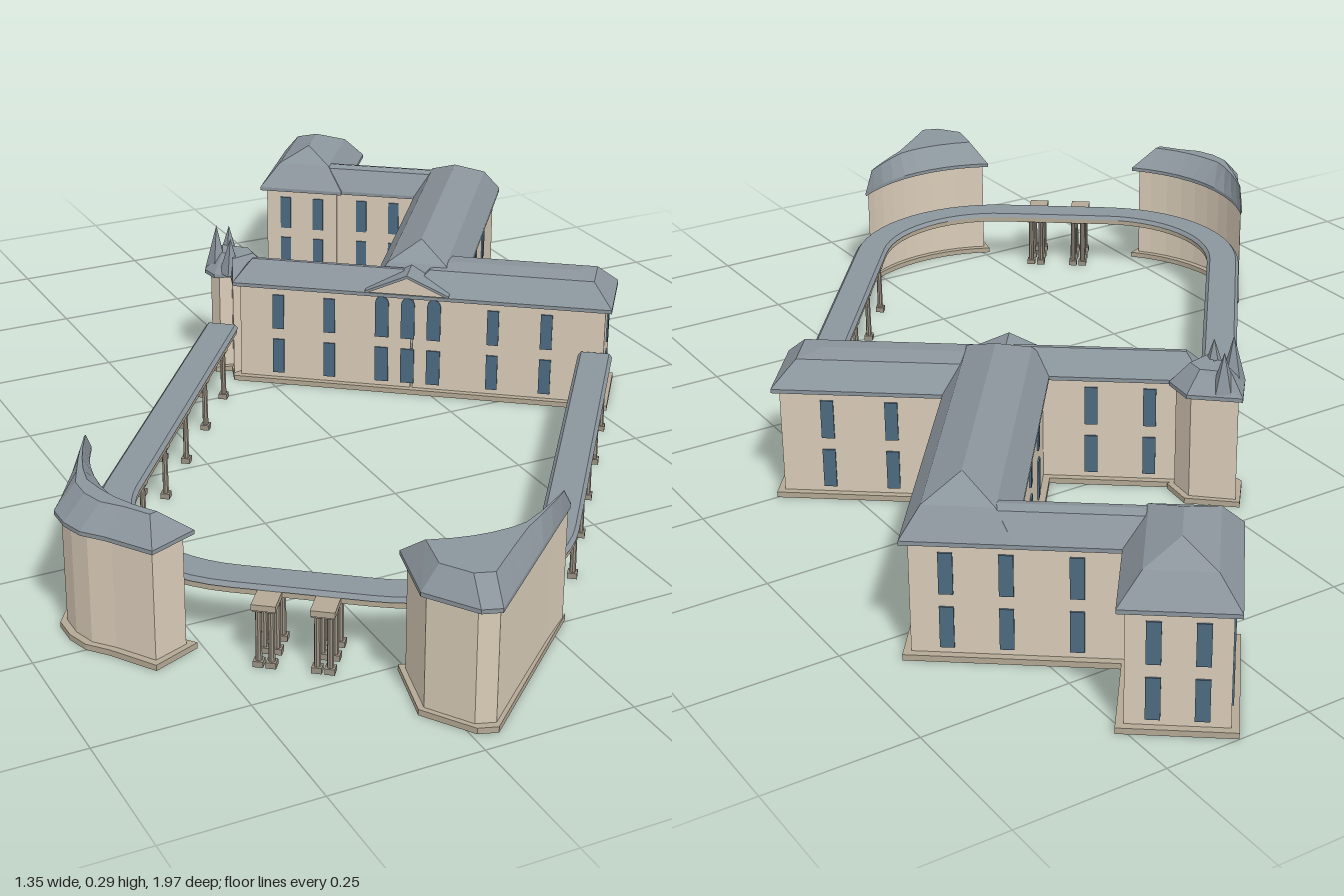
import * as THREE from 'three';

const mat = (color) => new THREE.MeshStandardMaterial({ color, flatShading: true });
const WALL = mat(0xd9ccb8), ROOF = mat(0x8b959c), GLASS = mat(0x4d6a80);
const STONE = mat(0xb3a894), COLUMN = mat(0x9a9284);

function add(parent, name, geometry, material) {
  const mesh = new THREE.Mesh(geometry, material);
  mesh.name = name;
  parent.add(mesh);
  return mesh;
}

const area = (r) => r.reduce((s, [x, z], i) => {
  const [u, v] = r[(i + 1) % r.length];
  return s + x * v - u * z;
}, 0);

// Solid through footprints of equal point count at rising heights, with end caps
function loft(rings, heights) {
  if (area(rings[0]) < 0) rings = rings.map((r) => [...r].reverse());
  const pos = [], n = rings[0].length;
  const put = (k, i) => pos.push(rings[k][i][0], heights[k], rings[k][i][1]);
  for (let k = 0; k + 1 < rings.length; k++) {
    for (let i = 0; i < n; i++) {
      const j = (i + 1) % n;
      put(k, i); put(k + 1, j); put(k, j);
      put(k, i); put(k + 1, i); put(k + 1, j);
    }
  }
  const cap = (k, up) => {
    const pts = rings[k].map(([x, z]) => new THREE.Vector2(x, z));
    for (const [a, b, c] of THREE.ShapeUtils.triangulateShape(pts, [])) {
      (up ? [a, c, b] : [a, b, c]).forEach((i) => put(k, i));
    }
  };
  cap(0, false);
  cap(rings.length - 1, true);
  const g = new THREE.BufferGeometry();
  g.setAttribute('position', new THREE.Float32BufferAttribute(pos, 3));
  g.computeVertexNormals();
  return g;
}

// Plinth, walls and mansard roof; inset(d) gives the footprint moved inwards by d
function building(parent, name, inset, tiers) {
  const g = new THREE.Group();
  g.name = name;
  parent.add(g);
  add(g, 'plinth', loft([inset(0), inset(0)], [0, 0.01]), STONE);
  add(g, 'walls', loft([inset(0.012), inset(0.012)], [0.01, 0.2]), WALL);
  const steps = [[0, 0.198], [0, 0.205], ...tiers];
  add(g, 'roof', loft(steps.map((t) => inset(t[0])), steps.map((t) => t[1])), ROOF);
  return g;
}

const rect = (x0, x1, z0, z1) => (d) =>
  [[x0 + d, z0 + d], [x1 - d, z0 + d], [x1 - d, z1 - d], [x0 + d, z1 - d]];

const shrink = (pts) => {
  const cx = pts.reduce((s, p) => s + p[0], 0) / pts.length;
  const cz = pts.reduce((s, p) => s + p[1], 0) / pts.length;
  return (d) => pts.map(([x, z]) => {
    const f = 1 - Math.min(0.9, d / Math.hypot(x - cx, z - cz));
    return [cx + (x - cx) * f, cz + (z - cz) * f];
  });
};

const lerp = (p, q, t) => [p[0] + (q[0] - p[0]) * t, p[1] + (q[1] - p[1]) * t];

// Two storeys of windows at fractions along a wall line
function windows(parent, p, q, fractions, width = 0.022) {
  for (const t of fractions) {
    const [x, z] = lerp(p, q, t);
    for (const y of [0.055, 0.147]) {
      const w = add(parent, 'window', new THREE.BoxGeometry(width, 0.07, 0.006), GLASS);
      w.position.set(x, y, z);
      w.rotation.y = -Math.atan2(q[1] - p[1], q[0] - p[0]);
    }
  }
}

const arc = (cx, cz, r, a0, a1, n) => Array.from({ length: n + 1 }, (_, i) => {
  const a = a0 + (a1 - a0) * i / n;
  return [cx + r * Math.cos(a), cz + r * Math.sin(a)];
});

// Point at fraction t along a polyline
function along(pts, t) {
  const len = pts.slice(1).map((p, i) => Math.hypot(p[0] - pts[i][0], p[1] - pts[i][1]));
  let s = t * len.reduce((a, b) => a + b);
  for (let i = 0; i < len.length; i++) {
    if (s <= len[i] || i === len.length - 1) return lerp(pts[i], pts[i + 1], Math.min(1, s / len[i]));
    s -= len[i];
  }
}

// Footprint between a concave arc and an outer wall line, starting at a thin tip
const wedge = (inner, outer) => (d) => {
  const n = inner.length - 1;
  const A = [], O = [];
  for (let i = 0; i <= n; i++) {
    const a = inner[i], o = along(outer, i / n);
    const f = Math.min(0.42, d / Math.max(0.001, Math.hypot(o[0] - a[0], o[1] - a[1])));
    A.push(lerp(a, o, f));
    O.push(lerp(o, a, f));
  }
  const e = Math.min(0.9, d / 0.045);
  for (const L of [A, O]) {
    L[0] = lerp(L[0], L[1], e);
    L[n] = lerp(L[n], L[n - 1], e);
  }
  return [...A, ...O.reverse()];
};

function column(parent, x, z, h = 0.104) {
  const g = new THREE.Group();
  g.name = 'column';
  g.position.set(x, 0, z);
  add(g, 'shaft', new THREE.CylinderGeometry(0.0045, 0.0055, h, 8), COLUMN).position.y = h / 2;
  add(g, 'base', new THREE.BoxGeometry(0.016, 0.01, 0.016), COLUMN).position.y = 0.005;
  add(g, 'capital', new THREE.BoxGeometry(0.015, 0.008, 0.015), COLUMN).position.y = h - 0.004;
  parent.add(g);
}

export function createModel() {
  const root = new THREE.Group();
  root.name = 'palace';
  const p = new THREE.Group();
  p.name = 'palaceGrounds';
  p.rotation.y = -0.651; // the whole plan stands askew to the axes
  root.add(p);

  // Front range
  const left = building(p, 'frontRangeLeft', rect(-0.237, 0.12, -0.285, -0.213), [[0.032, 0.245]]);
  windows(left, [-0.22, -0.273], [0.03, -0.273], [0.3, 0.7]);
  const right = building(p, 'frontRangeRight', rect(0.1, 0.487, -0.37, -0.213),
    [[0.038, 0.245], [0.078, 0.25]]);
  windows(right, [0, -0.225], [1, -0.225], [-0.15, -0.05, 0.265, 0.366]);
  windows(right, [0.475, -0.37], [0.475, -0.213], [0.5]);
  windows(right, [0.2, -0.358], [0.487, -0.358], [0.3, 0.68]);
  windows(right, [0, -0.225], [1, -0.225], [0.052, 0.102, 0.152], 0.026);
  for (const x of [0.052, 0.102, 0.152]) {
    const top = add(right, 'windowArch', new THREE.CylinderGeometry(0.013, 0.013, 0.006, 12), GLASS);
    top.rotation.x = Math.PI / 2;
    top.position.set(x, 0.182, -0.225);
  }

  // Pediment over the middle windows
  const tri = new THREE.Shape([[-0.075, 0], [0.075, 0], [0, 0.034]].map((v) => new THREE.Vector2(...v)));
  add(p, 'pediment', new THREE.ExtrudeGeometry(tri, { depth: 0.06, bevelEnabled: false }), WALL)
    .position.set(0.102, 0.208, -0.268);
  for (const s of [-1, 1]) {
    const slope = add(p, 'pedimentRoof', new THREE.BoxGeometry(0.088, 0.005, 0.066), ROOF);
    slope.position.set(0.102 + s * 0.039, 0.2275, -0.237);
    slope.rotation.z = -s * 0.425;
  }

  // Main hall, rear range and rear pavilion
  const hall = building(p, 'mainHall', rect(0.026, 0.197, -0.857, -0.235), [[0.03, 0.25], [0.085, 0.28]]);
  for (const x of [0.038, 0.185]) {
    windows(hall, [x, 0], [x, -1], x > 0.1 ? [0.45, 0.56, 0.68] : [0.37, 0.5, 0.63]);
  }
  const rear = building(p, 'rearRange', rect(-0.2, 0.197, -0.857, -0.768), [[0.028, 0.246], [0.044, 0.25]]);
  windows(rear, [0, -0.845], [1, -0.845], [-0.065, 0.04, 0.13]);
  windows(rear, [0, -0.78], [1, -0.78], [-0.09, -0.02]);
  const pavilion = building(p, 'rearPavilion', rect(-0.308, -0.131, -1.022, -0.762),
    [[0.035, 0.25], [0.088, 0.276]]);
  windows(pavilion, [-0.308, -1.01], [-0.131, -1.01], [0.3, 0.7]);
  windows(pavilion, [-0.308, -0.774], [-0.131, -0.774], [0.3, 0.7]);
  windows(pavilion, [-0.296, -1.022], [-0.296, -0.762], [0.25, 0.5, 0.75]);
  windows(pavilion, [-0.143, -1.022], [-0.143, -0.857], [0.5]);

  // Broken-edged end tower with spires
  const tower = building(p, 'endTower', shrink([[-0.178, -0.29], [-0.209, -0.34], [-0.303, -0.348],
    [-0.306, -0.27], [-0.281, -0.245], [-0.251, -0.255], [-0.237, -0.213]]), [[0.035, 0.24]]);
  for (const [x, z, top] of [[-0.285, -0.285, 0.292], [-0.252, -0.262, 0.275], [-0.27, -0.325, 0.278]]) {
    const h = top - 0.205;
    add(tower, 'spire', new THREE.ConeGeometry(0.023, h, 5), ROOF).position.set(x, 0.205 + h / 2, z);
  }

  // Curved corner pavilions flanking the gate
  const tiers = [[0.038, 0.243]];
  const PI = Math.PI;
  const cornerL = wedge(arc(-0.005, 0.475, 0.292, PI * 0.95, PI * 0.56, 10),
    [[-0.296, 0.53], [-0.284, 0.748], [-0.238, 0.8], [-0.21, 0.8], [-0.104, 0.837]]);
  const gL = building(p, 'cornerPavilionLeft', cornerL, tiers);
  windows(gL, [-0.277, 0.53], [-0.273, 0.748], [0.45, 0.8]);
  const cornerR = wedge(arc(0.205, 0.475, 0.292, PI * 0.1, PI * 0.45, 10),
    [[0.483, 0.57], [0.417, 0.919], [0.3, 0.878]]);
  const gR = building(p, 'cornerPavilionRight', cornerR, tiers);
  windows(gR, [0.471, 0.57], [0.407, 0.91], [0.45, 0.8]);

  // Covered walkway round the court
  const track = (r, half) => [[0.1 - half, -0.215], ...arc(0.1 - half + r, 0.475, r, PI, PI / 2, 14),
    ...arc(0.1 + half - r, 0.475, r, PI / 2, 0, 14), [0.1 + half, -0.215]];
  const band = (e) => [...track(0.28 + e, 0.39 + e), ...track(0.22 - e, 0.33 - e).reverse()];
  add(p, 'walkwayBeam', loft([band(0), band(0)], [0.1, 0.11]), STONE);
  add(p, 'walkwayRoof', loft([band(0.002), band(-0.004)], [0.11, 0.117]), ROOF);

  // Columns along both sides and at the gate
  for (const side of [-1, 1]) {
    for (let i = 0; i < 5; i++) {
      for (const off of [0.338, 0.382]) column(p, 0.1 + side * off, -0.13 + i * 0.14);
    }
    for (const off of [0.035, 0.055]) {
      for (const z of [0.71, 0.75, 0.79]) column(p, 0.098 + side * off, z);
    }
    const lintel = add(p, 'gateLintel', new THREE.BoxGeometry(0.038, 0.01, 0.05), STONE);
    lintel.position.set(0.098 + side * 0.045, 0.105, 0.776);
  }
  return root;
}
